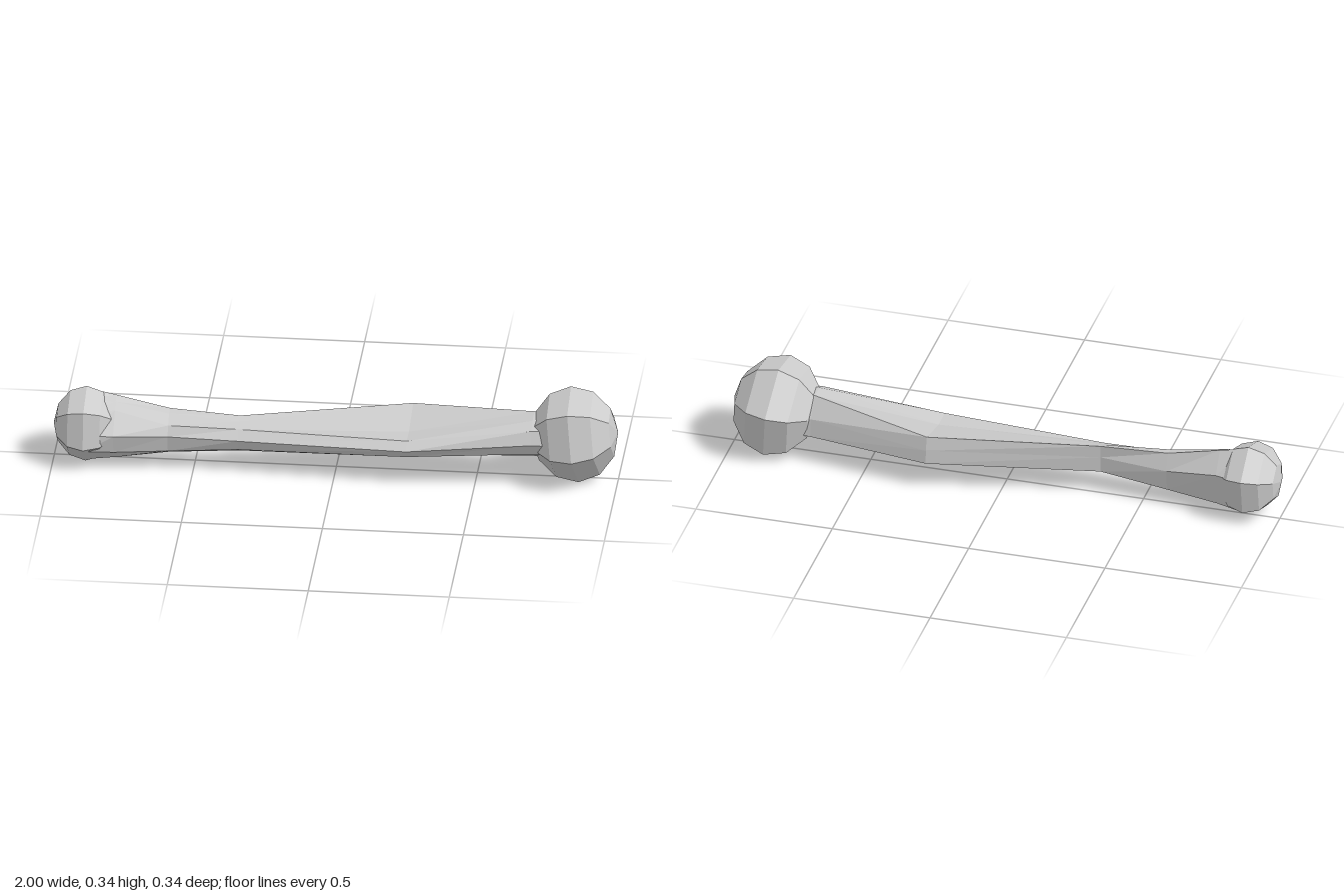
import * as THREE from 'three';

const material = new THREE.MeshStandardMaterial({ color: 0xcccccc, flatShading: true });

// Six-sided faceted knob with its poles along x; size is [half length, radius to the first corner, radius across]
function knob(name, size, twist, tilt, position) {
  const geo = new THREE.SphereGeometry(1, 6, 6);
  geo.rotateZ(-Math.PI / 2);
  geo.scale(...size);
  geo.rotateX(THREE.MathUtils.degToRad(twist));
  geo.rotateZ(THREE.MathUtils.degToRad(tilt));
  const mesh = new THREE.Mesh(geo, material);
  mesh.name = name;
  mesh.position.set(...position);
  return mesh;
}

// Skin a row of [z, y] loops, ordered from +x to -x, and cap both ends
function loft(sections) {
  const positions = [];
  const index = [];
  const n = sections[0].loop.length;
  for (const { x, loop } of sections) {
    for (const [z, y] of loop) positions.push(x, y, z);
  }
  for (let s = 0; s < sections.length - 1; s++) {
    for (let i = 0; i < n; i++) {
      const a = s * n + i;
      const b = s * n + (i + 1) % n;
      index.push(a, b, a + n, b, b + n, a + n);
    }
  }
  const last = (sections.length - 1) * n;
  for (let i = 1; i < n - 1; i++) {
    index.push(0, i + 1, i, last, last + i, last + i + 1);
  }
  const geo = new THREE.BufferGeometry();
  geo.setAttribute('position', new THREE.Float32BufferAttribute(positions, 3));
  geo.setIndex(index);
  const flat = geo.toNonIndexed();
  flat.computeVertexNormals();
  return flat;
}

export function createModel() {
  const group = new THREE.Group();
  group.name = 'bone';

  // Rounded ends
  group.add(knob('largeEnd', [0.155, 0.186, 0.169], 44, 6, [0.845, 0.167, 0]));
  group.add(knob('smallEnd', [0.115, 0.137, 0.137], -10, 0, [-0.885, 0.137, 0.023]));

  // Shaft loops: front edge, front top edge, mid top, back ridge, back face, back lower edge, underside, lower front
  const sections = [
    { x: 0.78, loop: [[0.11, 0.168], [0.09, 0.215], [0.045, 0.235], [-0.02, 0.24], [-0.07, 0.17], [-0.075, 0.105], [0.05, 0.1], [0.09, 0.125]] },
    { x: 0.7, loop: [[0.11, 0.168], [0.09, 0.215], [0.045, 0.235], [-0.02, 0.24], [-0.07, 0.17], [-0.08, 0.105], [0.05, 0.1], [0.09, 0.125]] },
    { x: 0.26, loop: [[0.14, 0.137], [0.11, 0.165], [0.03, 0.163], [-0.125, 0.2], [-0.135, 0.15], [-0.14, 0.1], [0.05, 0.085], [0.115, 0.105]] },
    { x: -0.34, loop: [[0.1, 0.13], [0.07, 0.162], [0.035, 0.175], [0.005, 0.185], [0.005, 0.14], [0.005, 0.082], [0.05, 0.07], [0.085, 0.09]] },
    { x: -0.59, loop: [[0.09, 0.13], [0.07, 0.165], [0.035, 0.195], [0, 0.2], [-0.025, 0.14], [-0.015, 0.06], [0.045, 0.05], [0.08, 0.07]] },
    { x: -0.78, loop: [[0.125, 0.138], [0.055, 0.208], [0.03, 0.23], [0, 0.243], [-0.055, 0.17], [-0.035, 0.045], [0.055, 0.025], [0.11, 0.07]] },
    { x: -0.88, loop: [[0.13, 0.138], [0.08, 0.2], [0.04, 0.24], [0, 0.265], [-0.1, 0.183], [-0.08, 0.052], [0.046, 0.008], [0.135, 0.08]] },
  ];
  const shaft = new THREE.Mesh(loft(sections), material);
  shaft.name = 'shaft';
  group.add(shaft);

  return group;
}
